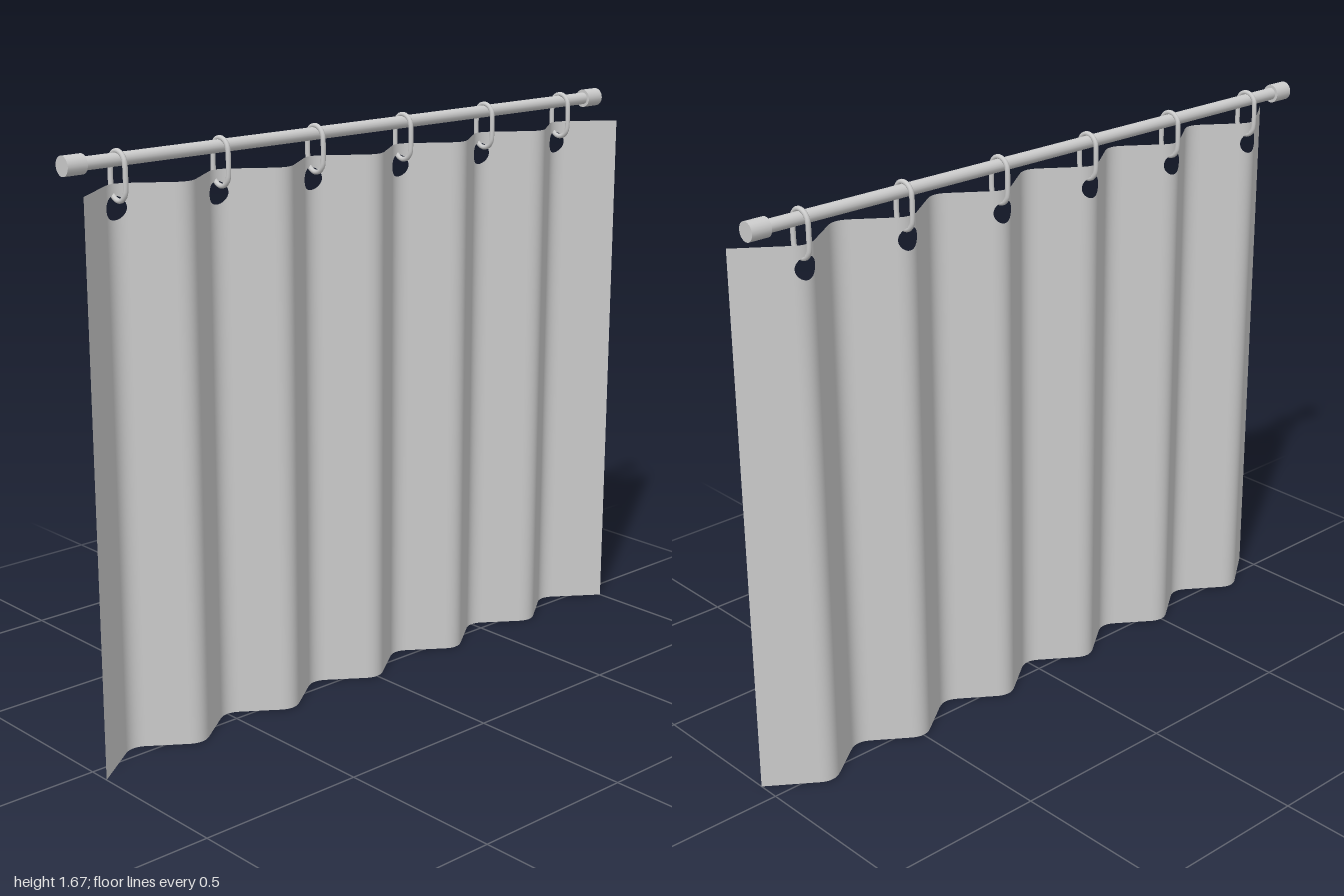
import * as THREE from 'three';

const PLEATS = 6, PITCH = 2 / PLEATS;
const TOP = 1.58, HOLE_Y = 1.517, HOLE_R = 0.032;
const ROD_Y = 1.645, ROD_Z = -0.025;
const SLOPE = 0.72, BEND = 0.035;
const ringX = i => -1 + PITCH * (i + 0.5);

const mat = () => new THREE.MeshStandardMaterial({ color: 0xcccccc });

// Depth and slope of the rounded zigzag; d is the distance from the nearest ring
function fold(x, i) {
  const s = Math.sign(x - ringX(i)), d = Math.abs(x - ringX(i)), half = PITCH / 2;
  const valley = 0.065 - SLOPE * half;
  const outerEnd = (i === 0 && s < 0) || (i === PLEATS - 1 && s > 0);
  let z = valley + SLOPE * d, g = SLOPE;
  if (d < BEND) {
    z = valley + SLOPE * (d * d + BEND * BEND) / (2 * BEND);
    g = SLOPE * d / BEND;
  } else if (half - d < BEND && !outerEnd) {
    const e = half - d;
    z = 0.065 - SLOPE * (e * e + BEND * BEND) / (2 * BEND);
    g = SLOPE * e / BEND;
  }
  return { z, g: g * s };
}

// Pleated sheet: columns of four points, with a round eyelet left open in each valley
function curtainGeometry() {
  const offsets = [];
  const half = PITCH / 2;
  for (let k = 0; k <= 4; k++) offsets.push(-half + BEND * k / 4);
  offsets.push(-BEND);
  for (let k = 0; k <= 24; k++) offsets.push(-HOLE_R * Math.cos(Math.PI * k / 24));
  offsets.push(BEND);
  for (let k = 4; k >= 0; k--) offsets.push(half - BEND * k / 4);

  const pos = [], nor = [], idx = [];
  for (let i = 0; i < PLEATS; i++) {
    offsets.forEach((dx, c) => {
      const x = ringX(i) + dx, { z, g } = fold(x, i);
      const h = Math.sqrt(Math.max(0, HOLE_R * HOLE_R - dx * dx));
      const n = new THREE.Vector3(-g, 0, 1).normalize();
      const base = pos.length / 3;
      for (const y of [0, HOLE_Y - h, HOLE_Y + h, TOP]) {
        pos.push(x, y, z);
        nor.push(n.x, n.y, n.z);
      }
      if (c === 0) return;
      for (const r of [0, 2]) {
        const a = base - 4 + r, b = base + r;
        idx.push(a, b, b + 1, a, b + 1, a + 1);
      }
    });
  }
  const geo = new THREE.BufferGeometry();
  geo.setAttribute('position', new THREE.Float32BufferAttribute(pos, 3));
  geo.setAttribute('normal', new THREE.Float32BufferAttribute(nor, 3));
  geo.setIndex(idx);
  return geo;
}

// Elongated ring looping over the rod and through an eyelet
function ringGeometry() {
  const r = 0.032, pts = [];
  for (const [cy, start] of [[ROD_Y - 0.01, 0], [1.57, Math.PI]]) {
    for (let k = 0; k <= 8; k++) {
      const a = start + Math.PI * k / 8;
      pts.push(new THREE.Vector3(0, cy + r * Math.sin(a), -0.022 + r * Math.cos(a)));
    }
  }
  const path = new THREE.CatmullRomCurve3(pts, true);
  return new THREE.TubeGeometry(path, 48, 0.007, 10, true);
}

export function createModel() {
  const group = new THREE.Group();
  const add = (name, geo, x = 0, y = 0, z = 0) => {
    const mesh = new THREE.Mesh(geo, mat());
    mesh.name = name;
    mesh.position.set(x, y, z);
    group.add(mesh);
    return mesh;
  };

  // Curtain
  add('curtain', curtainGeometry()).material.side = THREE.DoubleSide;

  // Rod and its end caps
  const rod = r => len => new THREE.CylinderGeometry(r, r, len, 20).rotateZ(Math.PI / 2);
  add('rod', rod(0.018)(1.94), 0, ROD_Y, ROD_Z);
  for (const s of [1, -1]) {
    add(s > 0 ? 'leftEndCap' : 'rightEndCap', rod(0.027)(0.06), s * 0.97, ROD_Y, ROD_Z);
  }

  // Hanging rings
  const ring = ringGeometry();
  for (let i = 0; i < PLEATS; i++) add('ring' + (i + 1), ring, ringX(i));

  return group;
}
